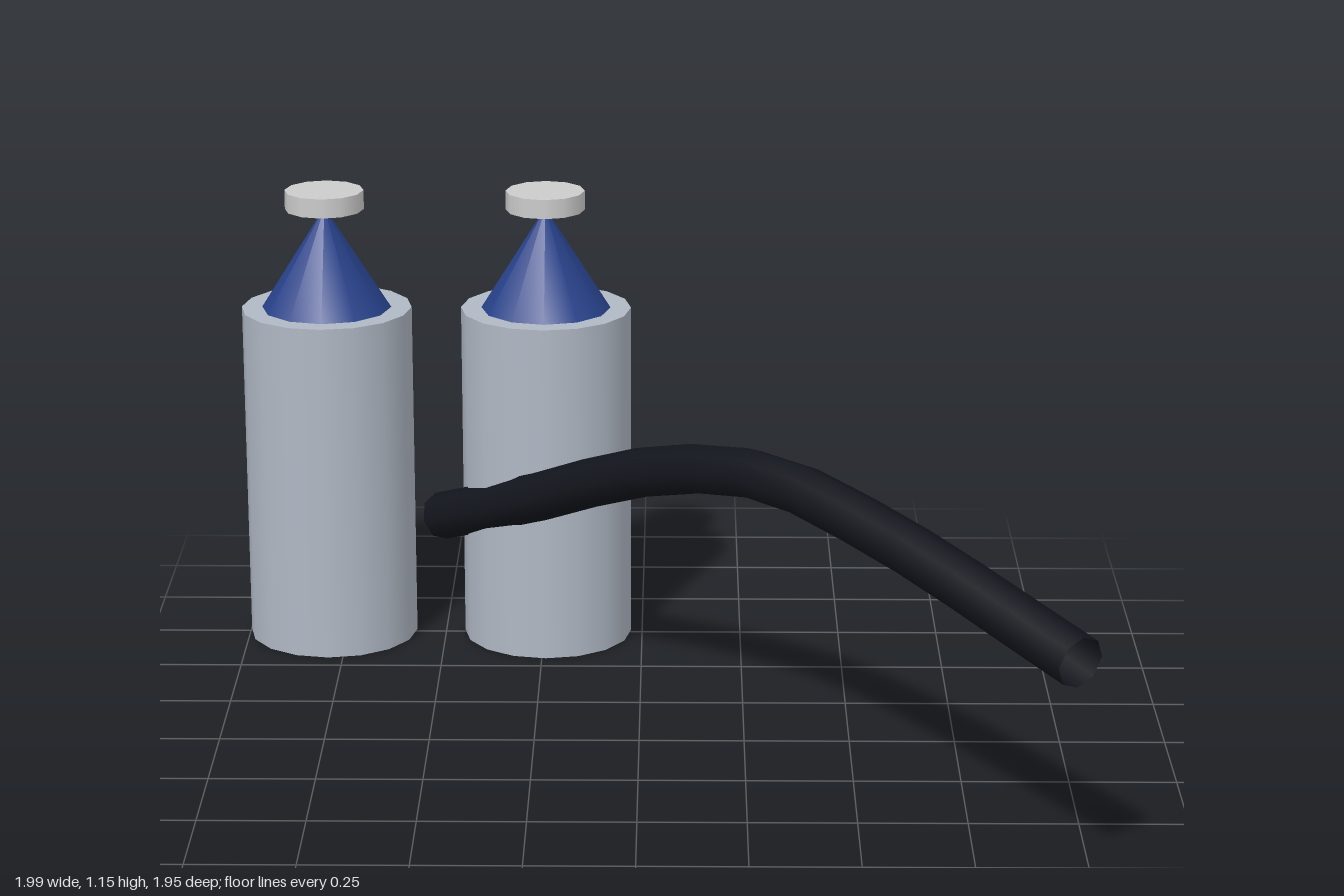
import * as THREE from 'three';

const mat = (color, side = THREE.FrontSide) => new THREE.MeshStandardMaterial({ color, side });

function add(parent, name, geometry, material, y = 0) {
  const mesh = new THREE.Mesh(geometry, material);
  mesh.name = name;
  mesh.position.y = y;
  parent.add(mesh);
  return mesh;
}

export function createModel() {
  const model = new THREE.Group();
  model.name = 'twinTanksWithHose';

  const steel = mat(0xb0b8c4);
  const blue = mat(0x27418a);
  const cap = mat(0xcccccc);
  const rubber = mat(0x12151c, THREE.DoubleSide);

  // Two identical tanks: body, cone shoulder and floating valve cap
  for (const [name, x] of [['rightTank', -0.787], ['leftTank', -0.24]]) {
    const tank = new THREE.Group();
    tank.name = name;
    tank.position.set(x, 0, -0.766);
    add(tank, 'tankBody', new THREE.CylinderGeometry(0.212, 0.212, 0.855, 16), steel, 0.4275);
    add(tank, 'coneTop', new THREE.ConeGeometry(0.161, 0.255, 12), blue, 0.9825);
    add(tank, 'valveCap', new THREE.CylinderGeometry(0.098, 0.098, 0.048, 12), cap, 1.13);
    model.add(tank);
  }

  // Open hose arching from between the tanks to the front
  const path = new THREE.CatmullRomCurve3([
    [-0.51, 0.305, -0.768],
    [-0.26, 0.435, -0.525],
    [0, 0.585, -0.265],
    [0.28, 0.678, 0.04],
    [0.56, 0.652, 0.4],
    [0.945, 0.553, 0.935],
  ].map((p) => new THREE.Vector3(...p)));
  add(model, 'hose', new THREE.TubeGeometry(path, 12, 0.06, 8, false), rubber);

  return model;
}
